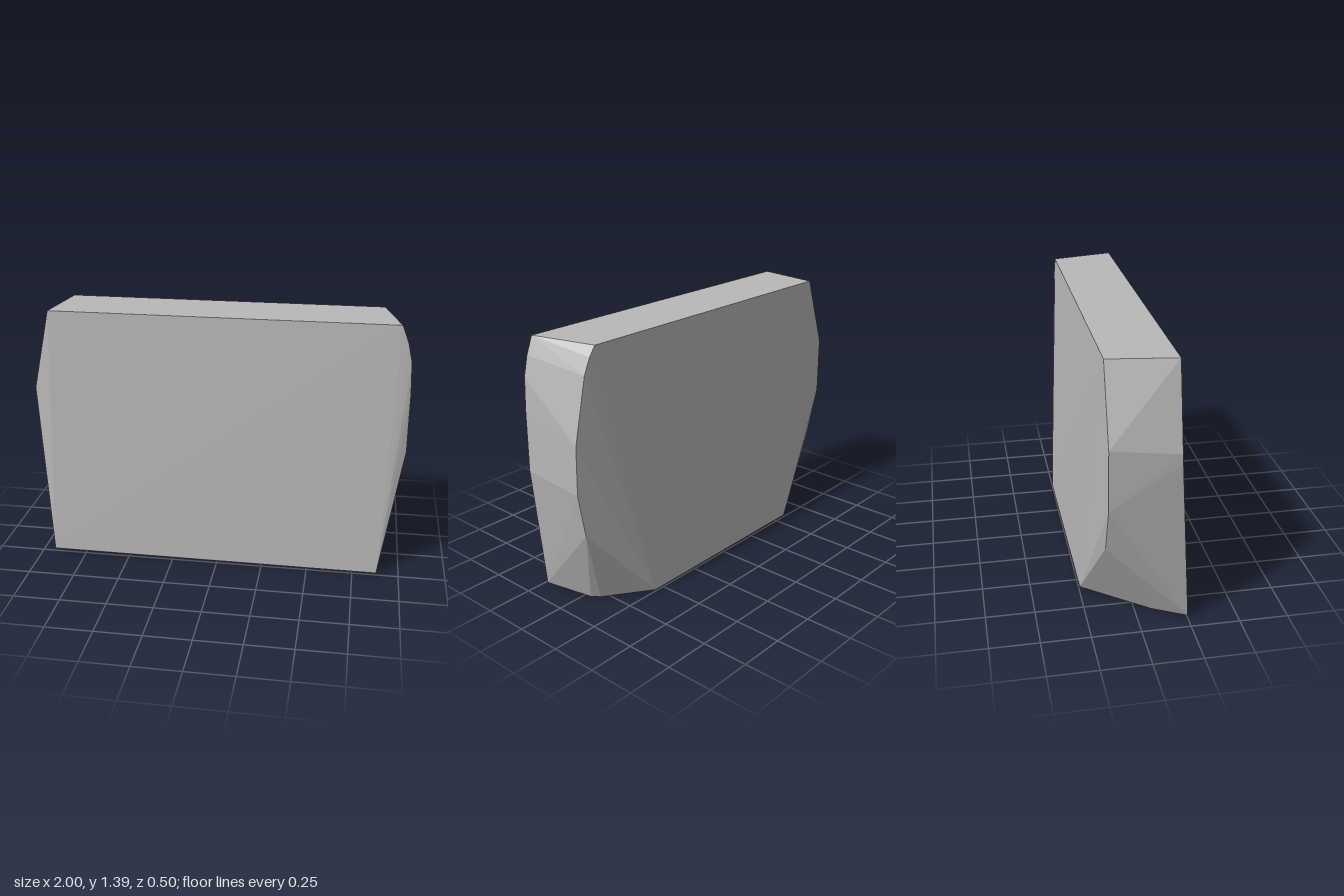
import * as THREE from 'three';
import { ConvexGeometry } from 'three/addons/geometries/ConvexGeometry.js';

// Tapered stone slab: a convex solid defined by its rims
export function createModel() {
  const group = new THREE.Group();
  group.name = 'slab';
  const stone = new THREE.MeshStandardMaterial({ color: 0xb8b8b8 });
  stone.name = 'grey stone';

  const FRONT = 0.177, BACK = -0.165;

  // front rim [x, y], upper part of the front face
  const frontRim = [
    [-0.905, 1.39], [-1, 0.96], [-0.998, 0.9],
    [0.93, 1.39], [0.965, 1.3], [0.988, 1.2], [0.995, 1.03], [0.995, 0.71],
  ];
  // back rim [x, y], upper part of the back face
  const backRim = [
    [-0.86, 1.39], [-0.995, 1.0], [-0.995, 0.69], [-0.91, 0.44],
    [0.845, 1.39], [0.88, 1.34], [0.916, 1.26], [0.988, 0.93], [0.992, 0.68], [0.95, 0.45],
  ];
  // foot outline [x, y, z]
  const foot = [
    [-0.93, 0.015, 0.25], [-0.88, 0.003, 0.235], [0.88, 0.003, 0.235],
    [0.82, 0, -0.035], [0.79, 0, -0.075], [0.56, 0.008, -0.25],
    [-0.58, 0.008, -0.245], [-0.826, 0.003, 0.085],
  ];

  const points = [
    ...frontRim.map(([x, y]) => new THREE.Vector3(x, y, FRONT)),
    ...backRim.map(([x, y]) => new THREE.Vector3(x, y, BACK)),
    ...foot.map((p) => new THREE.Vector3(...p)),
  ];
  const block = new THREE.Mesh(new ConvexGeometry(points), stone);
  block.name = 'slabBody';
  group.add(block);
  return group;
}
